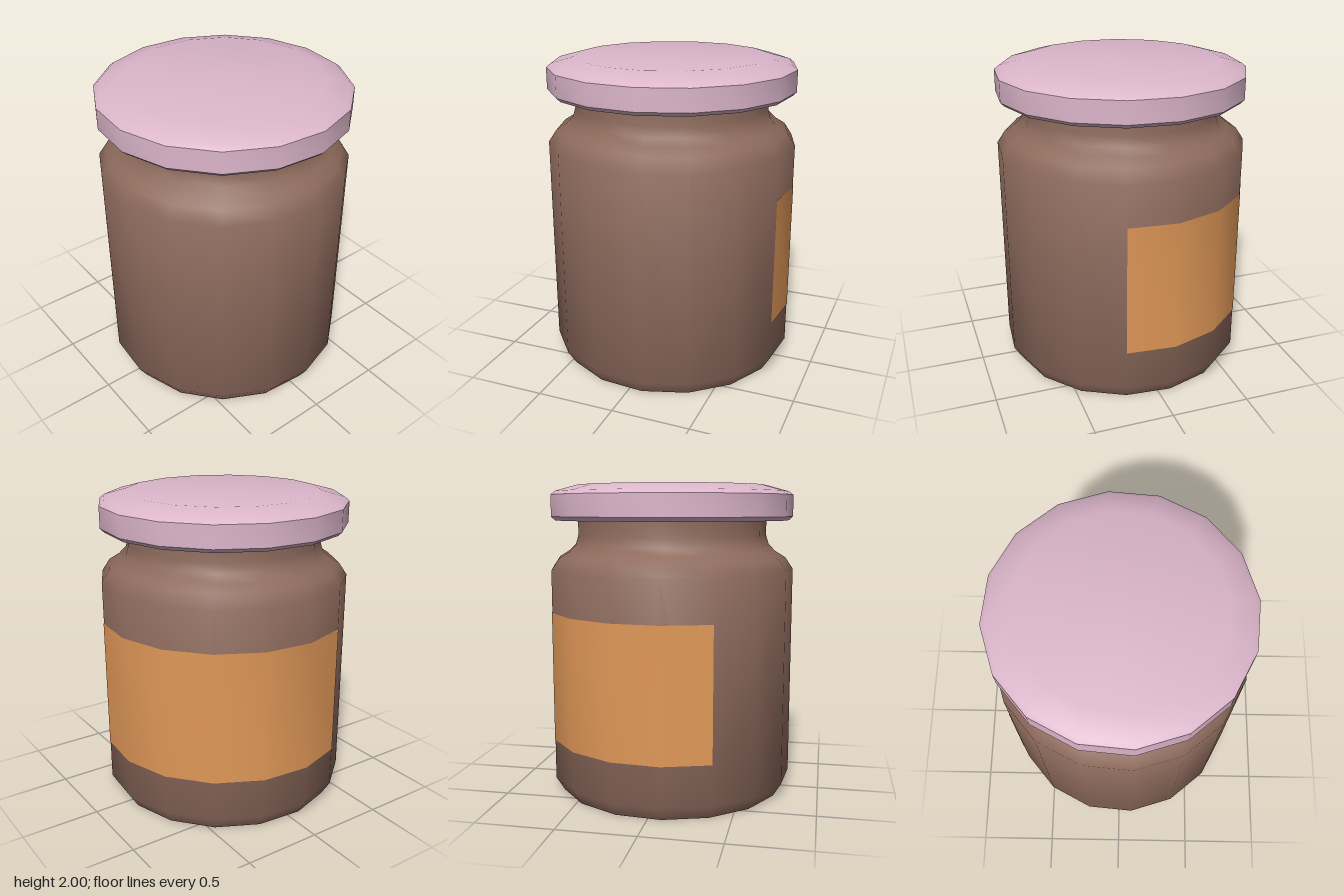
import * as THREE from 'three';
import { toCreasedNormals } from 'three/addons/utils/BufferGeometryUtils.js';

const SIDES = 16;
const STEP = (Math.PI * 2) / SIDES;
const TURN = THREE.MathUtils.degToRad(6.4); // the whole jar is turned slightly

// Revolve [radius, height] points, listed bottom to top, over some of the sides
function revolve(name, profile, color, first = 0, count = SIDES) {
  const points = profile.map(([r, y]) => new THREE.Vector2(r, y));
  const lathe = new THREE.LatheGeometry(points, count, TURN + first * STEP, count * STEP);
  const material = new THREE.MeshStandardMaterial({ color });
  const mesh = new THREE.Mesh(toCreasedNormals(lathe, 0.7), material);
  mesh.name = name;
  return mesh;
}

export function createModel() {
  const jar = new THREE.Group();
  jar.name = 'jar';

  // Body with bevelled base, rounded shoulder and neck running up into the lid
  jar.add(revolve('body', [
    [0, 0], [0.745, 0], [0.8, 0.09], [0.8, 1.46], [0.75, 1.535],
    [0.685, 1.575], [0.64, 1.62], [0.622, 1.68], [0.622, 1.8],
  ], 0x8d6a5c));

  // Label wrapped over six sides around the back left
  const label = revolve('label', [[0.803, 0.35], [0.803, 1.19]], 0xe09858, 3, 6);
  label.material.side = THREE.DoubleSide;
  jar.add(label);

  // Lid with a small lower bevel and a shallow domed top
  jar.add(revolve('lid', [
    [0, 1.775], [0.768, 1.775], [0.794, 1.8], [0.794, 1.937],
    [0.765, 1.96], [0.62, 2], [0, 2],
  ], 0xdcb6cb));

  return jar;
}
